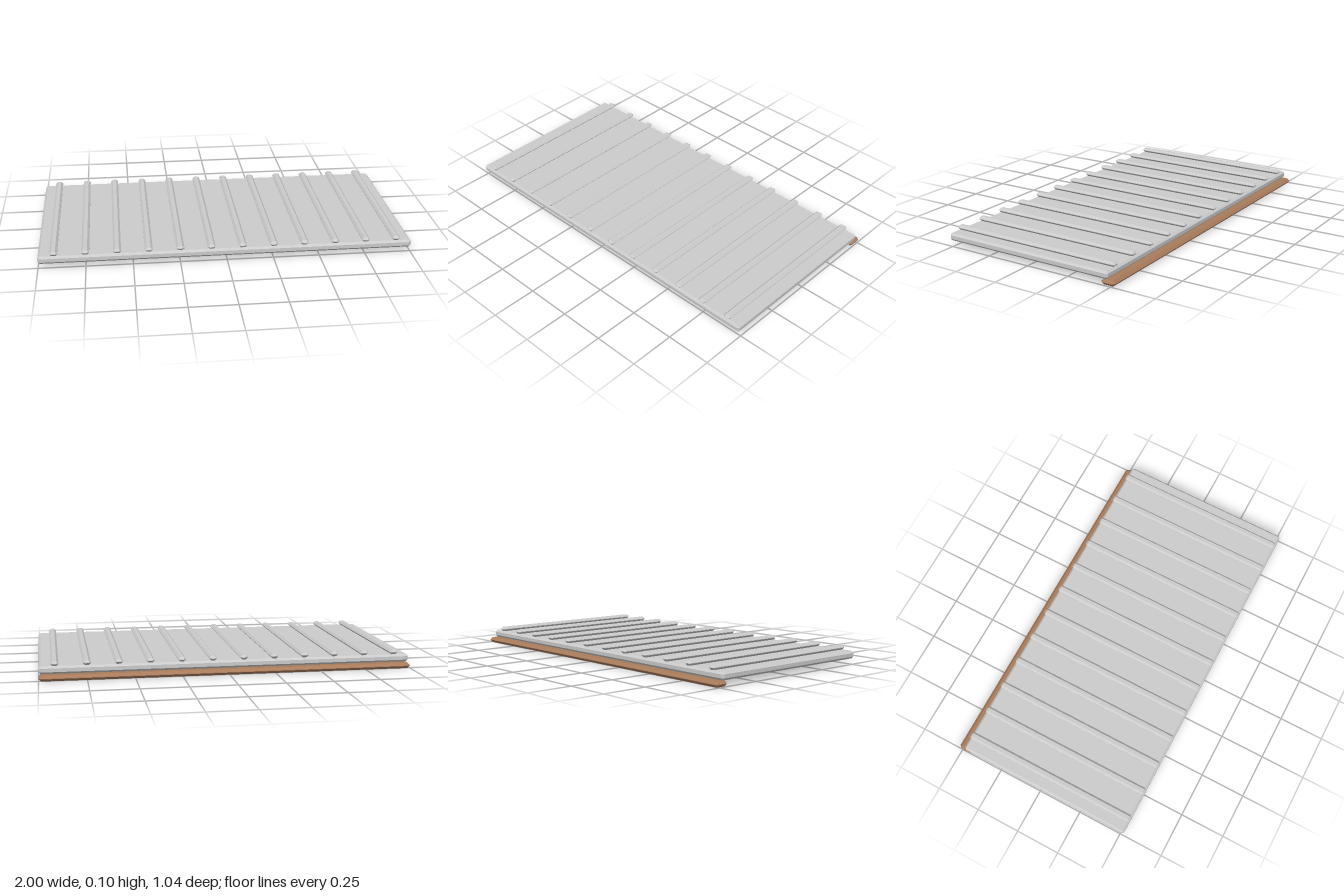
import * as THREE from 'three';
import { ConvexGeometry } from 'three/addons/geometries/ConvexGeometry.js';

const grey = new THREE.MeshStandardMaterial({ color: 0xcccccc, flatShading: true });
const brown = new THREE.MeshStandardMaterial({ color: 0xa97c5c, flatShading: true });

// Box with every edge chamfered by b
function chamferBox(w, h, d, b) {
  const points = [];
  const [x, y, z] = [w / 2, h / 2, d / 2];
  for (const sx of [-1, 1]) for (const sy of [-1, 1]) for (const sz of [-1, 1]) {
    points.push(
      new THREE.Vector3(sx * x, sy * (y - b), sz * (z - b)),
      new THREE.Vector3(sx * (x - b), sy * y, sz * (z - b)),
      new THREE.Vector3(sx * (x - b), sy * (y - b), sz * z)
    );
  }
  return new ConvexGeometry(points);
}

export function createModel() {
  const model = new THREE.Group();
  model.name = 'roofPanel';

  function add(name, geometry, material, x, y, z) {
    const mesh = new THREE.Mesh(geometry, material);
    mesh.name = name;
    mesh.position.set(x, y, z);
    model.add(mesh);
  }

  // Wooden beam under the back edge
  add('beam', chamferBox(2, 0.03, 0.08, 0.0135), brown, 0, 0.015, -0.48);

  // Flat sheet
  add('sheet', chamferBox(2, 0.0415, 1, 0.011), grey, 0, 0.051, 0.02);

  // Raised seams running front to back
  const seam = chamferBox(0.042, 0.025, 1, 0.011);
  for (let i = 0; i < 12; i++) {
    add('seam' + (i + 1), seam, grey, (i - 5.5) / 6, 0.0842, 0.02);
  }
  return model;
}
